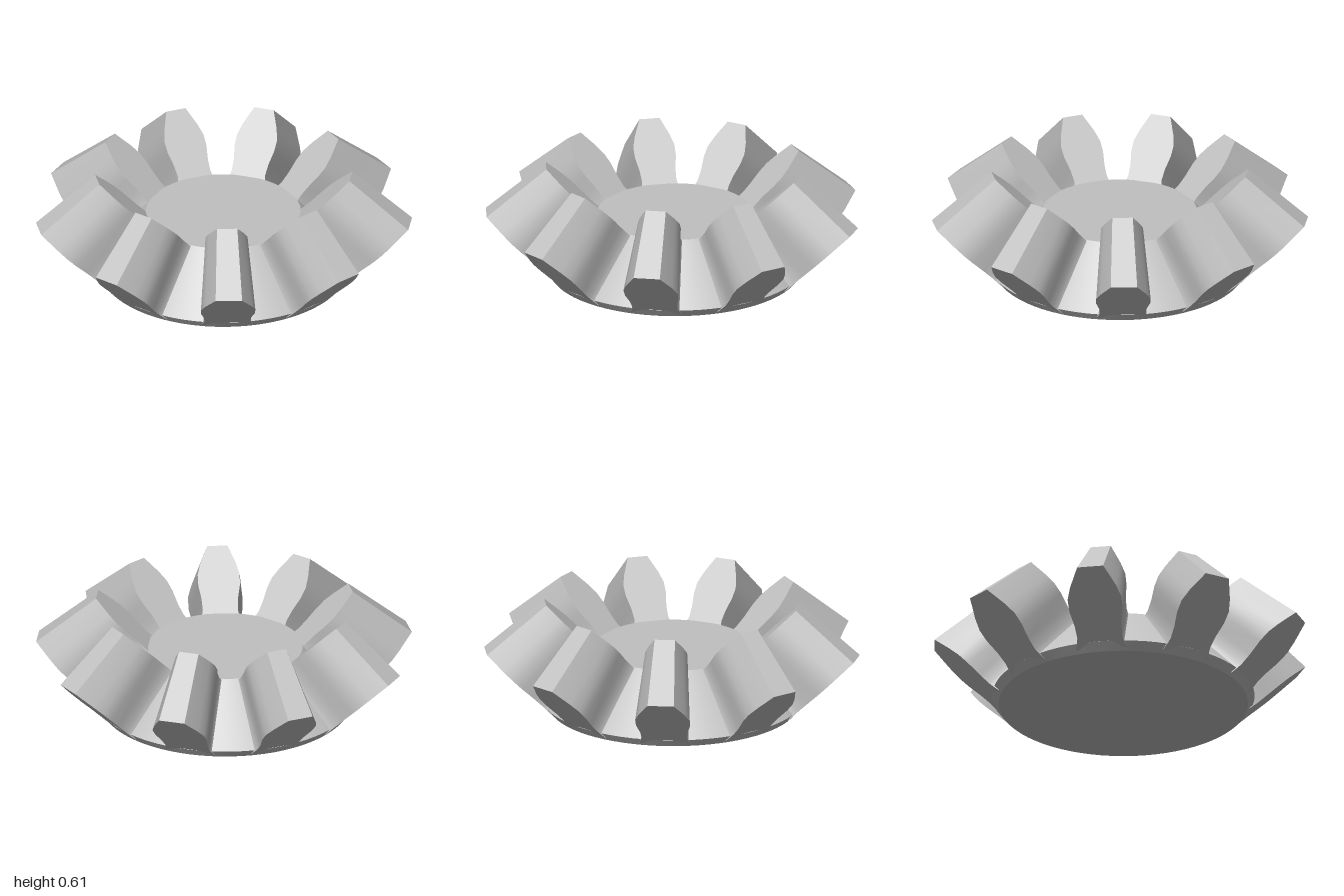
import * as THREE from 'three';
import { toCreasedNormals } from 'three/addons/utils/BufferGeometryUtils.js';

const TEETH = 9;

// tooth section: [height fraction from root to tip, half width at the outer end]
const PROFILE = [[-0.1, 0.14], [0, 0.127], [0.06, 0.122], [0.22, 0.127], [0.42, 0.145],
  [0.58, 0.146], [0.74, 0.124], [1, 0.071]];
// each end: [radius, y] of root and tip, and width scale
const OUTER = { root: [0.7, 0.045], tip: [1.011, 0.345], scale: 1 };
const INNER = { root: [0.41, 0.34], tip: [0.69, 0.61], scale: 0.77 };

// closed loop around one end of the tooth: up the right flank, down the left
function endLoop({ root, tip, scale }) {
  const right = PROFILE.map(([t, w]) => new THREE.Vector3(
    w * scale,
    root[1] + (tip[1] - root[1]) * t,
    root[0] + (tip[0] - root[0]) * t));
  const left = right.map(p => new THREE.Vector3(-p.x, p.y, p.z)).reverse();
  return [...right, ...left];
}

function toothGeometry() {
  const a = endLoop(OUTER), b = endLoop(INNER), n = a.length;
  const pos = [];
  const quad = (p, q, r, s) => {
    for (const v of [p, q, r, p, r, s]) pos.push(v.x, v.y, v.z);
  };
  // flanks, tip and root
  for (let i = 0; i < n; i++) {
    const j = (i + 1) % n;
    quad(a[i], b[i], b[j], a[j]);
  }
  // flat ends, in rows from root to tip
  for (let i = 0; i < PROFILE.length - 1; i++) {
    const l = n - 1 - i;
    quad(a[l], a[i], a[i + 1], a[l - 1]);
    quad(b[i], b[l], b[l - 1], b[i + 1]);
  }
  const g = new THREE.BufferGeometry();
  g.setAttribute('position', new THREE.Float32BufferAttribute(pos, 3));
  return toCreasedNormals(g, 0.42);
}

export function createModel() {
  const model = new THREE.Group();
  model.name = 'bevelGear';
  const steel = new THREE.MeshStandardMaterial({ color: 0xc0c0c0 });
  steel.name = 'light grey';

  const gear = new THREE.Group();
  gear.name = 'gear';
  gear.position.z = 0.018;
  model.add(gear);

  // conical body with a flat top and bottom
  const profile = [[0, 0], [0.668, 0], [0.703, 0.045], [0.415, 0.34], [0, 0.34]]
    .map(([r, y]) => new THREE.Vector2(r, y));
  const body = new THREE.Mesh(toCreasedNormals(new THREE.LatheGeometry(profile, 72), 0.4), steel);
  body.name = 'gearBody';
  gear.add(body);

  // ring of teeth, one pointing straight back
  const tooth = toothGeometry();
  for (let k = 0; k < TEETH; k++) {
    const mesh = new THREE.Mesh(tooth, steel);
    mesh.name = `tooth${k + 1}`;
    mesh.rotation.y = Math.PI + k * 2 * Math.PI / TEETH;
    gear.add(mesh);
  }
  return model;
}
